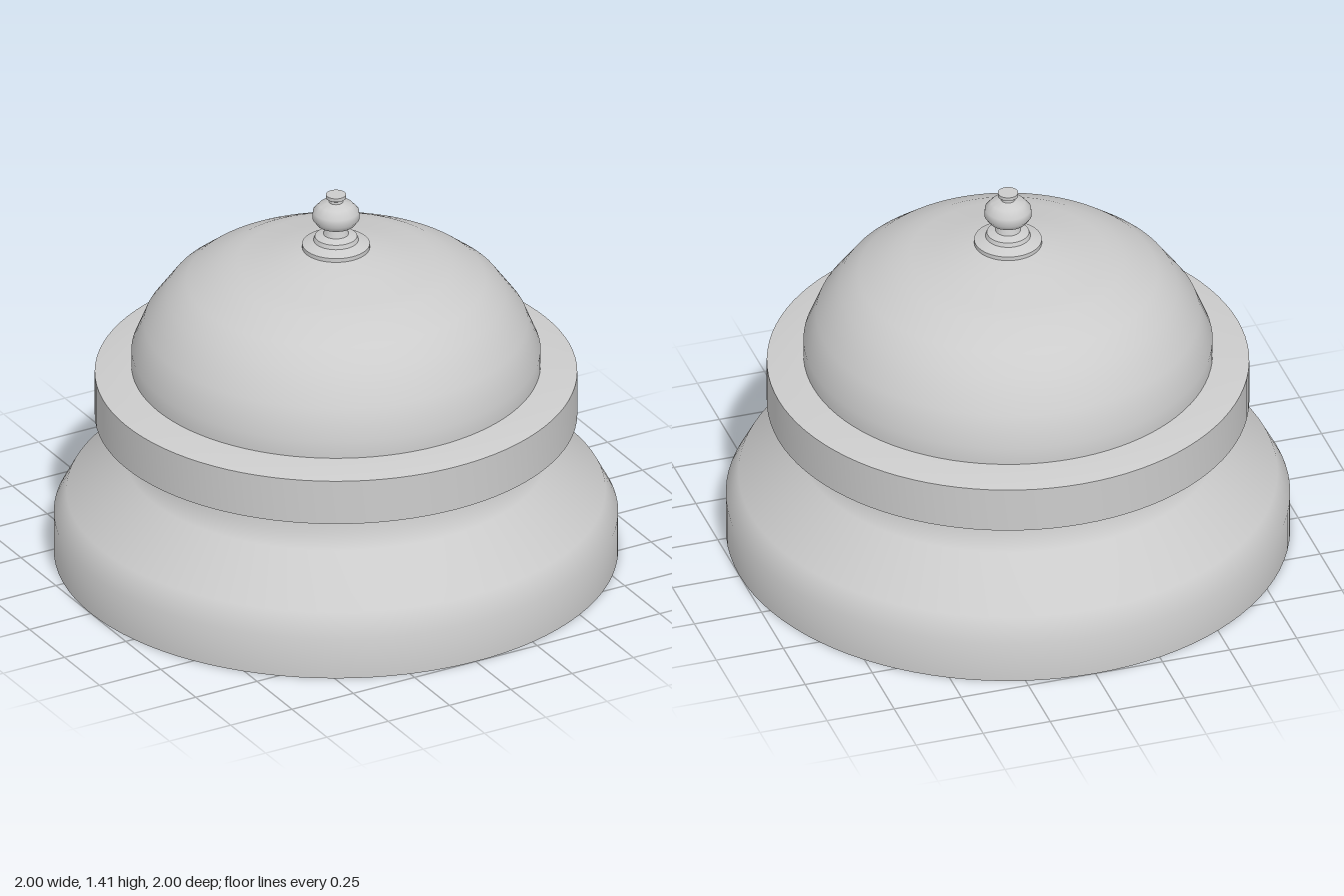
import * as THREE from 'three';
import { toCreasedNormals } from 'three/addons/utils/BufferGeometryUtils.js';

const material = new THREE.MeshStandardMaterial({ color: 0xcccccc, side: THREE.DoubleSide });

// Revolve a bottom-to-top [radius, height] profile, keeping sharp corners crisp
function turned(name, profile, segments = 96) {
  const points = profile.map(([r, y]) => new THREE.Vector2(r, y));
  const geometry = toCreasedNormals(new THREE.LatheGeometry(points, segments), 0.75);
  const mesh = new THREE.Mesh(geometry, material);
  mesh.name = name;
  return mesh;
}

export function createModel() {
  const model = new THREE.Group();
  model.name = 'bell';

  // Flared foot with a straight neck
  model.add(turned('base', [
    [0, 0], [1, 0], [1, 0.155], [0.955, 0.24], [0.75, 0.38], [0.715, 0.435], [0.715, 0.54],
  ]));

  // Overhanging band with a gently sloped top
  model.add(turned('rimBand', [
    [0.7, 0.54], [0.855, 0.54], [0.855, 0.71], [0.73, 0.735], [0.7, 0.735],
  ]));

  // Dome
  model.add(turned('dome', [
    [0.725, 0.73], [0.725, 0.8], [0.68, 0.91], [0.6, 1.02], [0.53, 1.075],
    [0.41, 1.135], [0.35, 1.15], [0.24, 1.175], [0.12, 1.205], [0, 1.21],
  ]));

  // Stepped collar, bulb and small cap
  model.add(turned('knob', [
    [0.12, 1.2], [0.12, 1.22], [0.08, 1.235], [0.075, 1.25], [0.045, 1.26],
    [0.038, 1.285], [0.068, 1.3], [0.084, 1.322], [0.082, 1.35], [0.06, 1.375],
    [0.025, 1.386], [0.024, 1.395], [0.036, 1.402], [0.036, 1.415], [0, 1.415],
  ], 48));

  return model;
}
